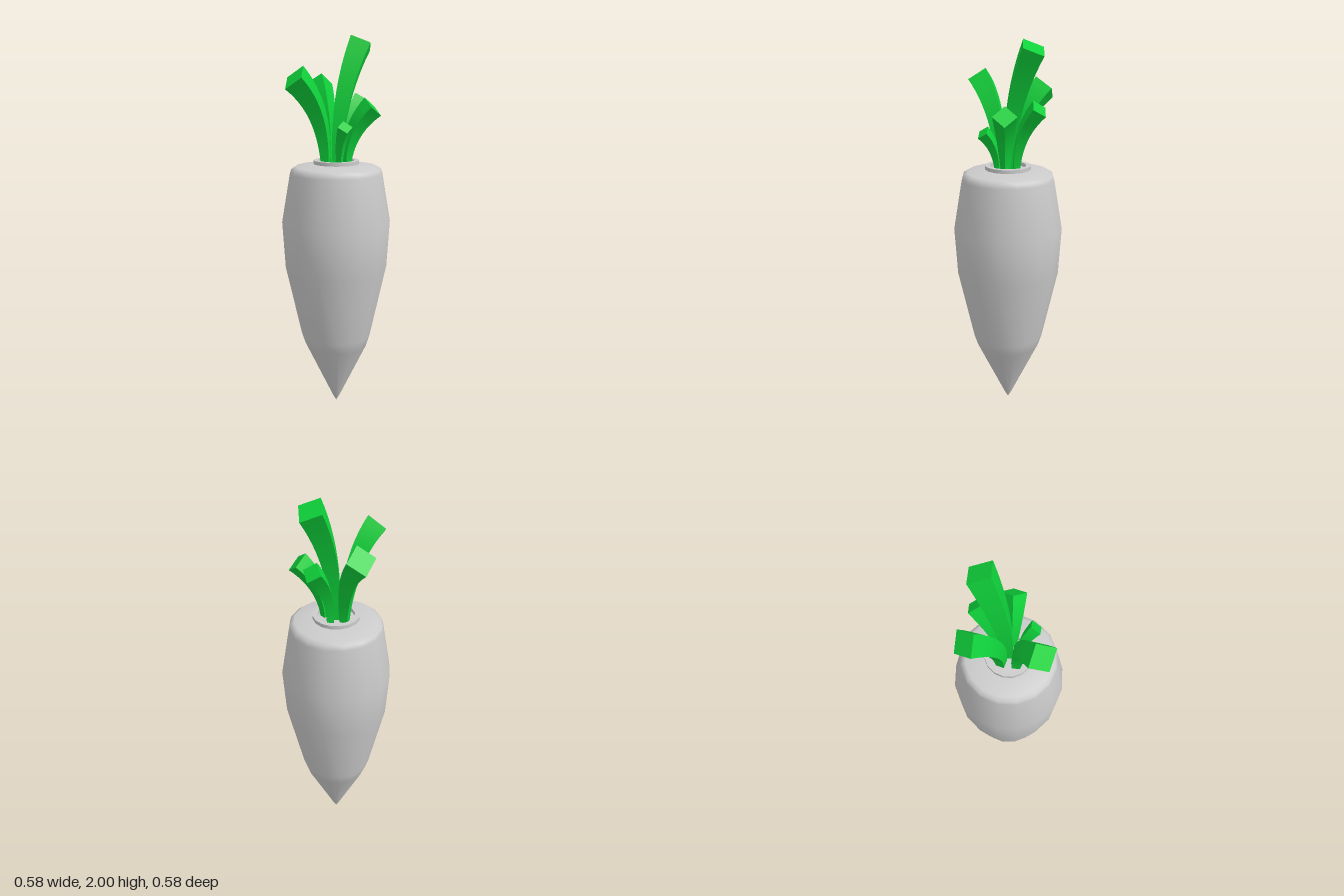
import * as THREE from 'three';
import { toCreasedNormals } from 'three/addons/utils/BufferGeometryUtils.js';

const SIDES = 16;
const lathe = (pts) =>
  new THREE.LatheGeometry(pts.map(([r, y]) => new THREE.Vector2(r, y)), SIDES);

// Tapering square stalk that rises from its base and bends outwards, one ridge facing up
function stalkGeometry(base, tip, tilt, baseHalf, tipHalf) {
  const p0 = new THREE.Vector3(...base);
  const p2 = new THREE.Vector3(...tip);
  const out = new THREE.Vector3(p2.x - p0.x, 0, p2.z - p0.z);
  const reach = out.length();
  out.normalize();
  const side = new THREE.Vector3(out.z, 0, -out.x);
  const bend = new THREE.Vector3(p0.x, p2.y - reach / Math.tan(tilt), p0.z);
  const curve = new THREE.QuadraticBezierCurve3(p0, bend, p2);

  const steps = 12;
  const rings = [];
  for (let i = 0; i <= steps; i++) {
    const t = i / steps;
    const c = curve.getPoint(t);
    const ridge = side.clone().cross(curve.getTangent(t)).normalize();
    const h = THREE.MathUtils.lerp(baseHalf, tipHalf, t);
    rings.push([0, 1, 2, 3].map((k) => c.clone()
      .addScaledVector(side, h * Math.cos(k * Math.PI / 2))
      .addScaledVector(ridge, -h * Math.sin(k * Math.PI / 2))));
  }

  const pos = [];
  const index = [];
  // four faces with their own vertices: smooth along the length, sharp at the ridges
  for (let k = 0; k < 4; k++) {
    const start = pos.length / 3;
    for (const ring of rings) pos.push(...ring[k].toArray(), ...ring[(k + 1) % 4].toArray());
    for (let i = 0; i < steps; i++) {
      const a = start + i * 2;
      index.push(a, a + 1, a + 3, a, a + 3, a + 2);
    }
  }
  // flat ends
  for (const [ring, flip] of [[rings[0], true], [rings[steps], false]]) {
    const s = pos.length / 3;
    ring.forEach((v) => pos.push(...v.toArray()));
    index.push(...(flip ? [s, s + 2, s + 1, s, s + 3, s + 2] : [s, s + 1, s + 2, s, s + 2, s + 3]));
  }
  const geo = new THREE.BufferGeometry();
  geo.setAttribute('position', new THREE.Float32BufferAttribute(pos, 3));
  geo.setIndex(index);
  geo.computeVertexNormals();
  return geo;
}

export function createModel() {
  const model = new THREE.Group();
  model.name = 'carrot';
  const grey = new THREE.MeshStandardMaterial({ color: 0xcccccc });
  const green = new THREE.MeshStandardMaterial({ color: 0x0fd03a, side: THREE.DoubleSide });
  const add = (name, geometry, material, parent = model) => {
    const mesh = new THREE.Mesh(geometry, material);
    mesh.name = name;
    parent.add(mesh);
  };

  // Root
  add('root', lathe([
    [0, 0], [0.018, 0.03], [0.17, 0.35], [0.19, 0.41], [0.273, 0.79], [0.288, 1.04],
    [0.243, 1.3], [0.236, 1.322], [0.215, 1.336], [0.12, 1.349], [0, 1.349],
  ]), grey);

  // Raised rim around the stalks
  add('crownRim', toCreasedNormals(lathe([
    [0.12, 1.34], [0.12, 1.368], [0.095, 1.368], [0.095, 1.34],
  ]), 0.6), grey);

  // Stalks: base, tip, lean at the tip, half diagonal at base and tip
  const stalks = new THREE.Group();
  stalks.name = 'stalks';
  model.add(stalks);
  const deg = Math.PI / 180;
  [
    [[0.005, 1.34, 0.0], [0.163, 1.962, 0.024], 30, 0.03, 0.077],
    [[-0.06, 1.34, -0.02], [-0.227, 1.79, -0.075], 48, 0.028, 0.076],
    [[0.005, 1.34, -0.055], [0.09, 1.753, -0.204], 48, 0.028, 0.075],
    [[0.02, 1.34, 0.055], [0.092, 1.645, 0.166], 47, 0.022, 0.062],
    [[-0.032, 1.34, 0.05], [-0.07, 1.548, 0.121], 45, 0.016, 0.04],
    [[0.052, 1.34, 0.0], [0.187, 1.672, 0.003], 45, 0.022, 0.053],
  ].forEach(([base, tip, lean, b, t], i) =>
    add(`stalk${i + 1}`, stalkGeometry(base, tip, lean * deg, b, t), green, stalks));

  return model;
}
